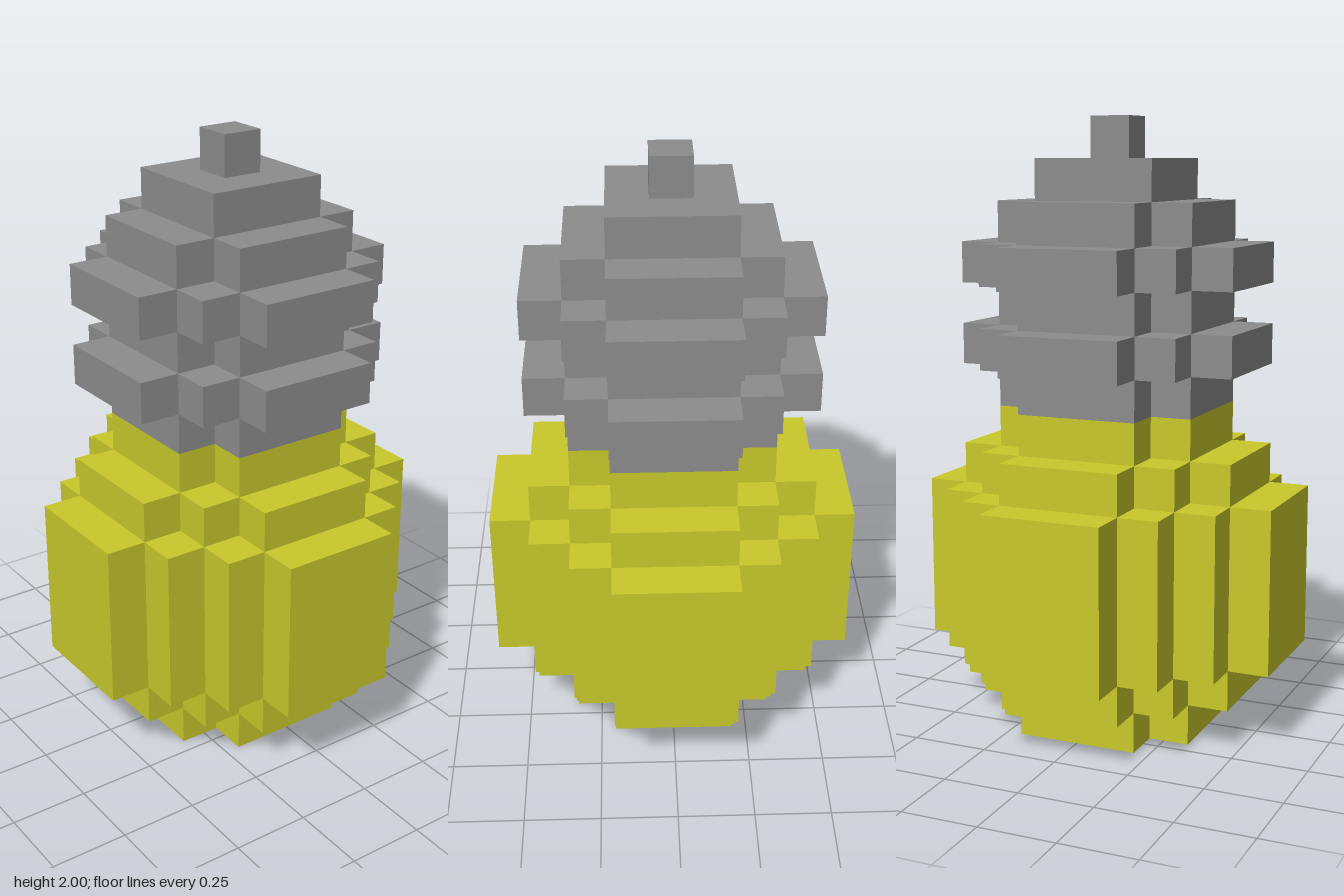
import * as THREE from 'three';

const U = 2 / 15; // size of one block

// Stepped round outline; r is the half width in blocks
function steppedOutline(r) {
  const quarter = [];
  let a = r, b = Math.min(1.5, r);
  quarter.push([a, b]);
  while (a > 1.5) {
    a -= 1;
    quarter.push([a, b]);
    b += 1;
    quarter.push([a, b]);
  }
  const points = [];
  for (let q = 0; q < 4; q++) {
    for (const [x, y] of quarter) {
      points.push(new THREE.Vector2(x * U, y * U).rotateAround(new THREE.Vector2(), q * Math.PI / 2));
    }
  }
  return new THREE.Shape(points);
}

export function createModel() {
  const yellow = new THREE.MeshStandardMaterial({ color: 0xc9c92c });
  yellow.name = 'yellow';
  const grey = new THREE.MeshStandardMaterial({ color: 0x8c8c8c });
  grey.name = 'grey';

  // Adds a stack of tiers, each [name, half width, height], both in blocks
  function stack(name, material, startY, tiers) {
    const group = new THREE.Group();
    group.name = name;
    let y = startY;
    for (const [tierName, r, height] of tiers) {
      const geometry = new THREE.ExtrudeGeometry(steppedOutline(r), { depth: height * U, bevelEnabled: false });
      geometry.rotateX(-Math.PI / 2);
      const mesh = new THREE.Mesh(geometry, material);
      mesh.name = tierName;
      mesh.position.y = y * U;
      group.add(mesh);
      y += height;
    }
    return group;
  }

  const model = new THREE.Group();
  model.name = 'bulb';

  // Rounded yellow glass
  model.add(stack('glass', yellow, 0, [
    ['glassBottom', 2.5, 1],
    ['glassLowerStep', 3.5, 1],
    ['glassBody', 4.5, 4],
    ['glassUpperStep', 3.5, 1],
    ['glassNeck', 2.5, 1],
  ]));

  // Ridged grey screw base with its contact on top
  model.add(stack('screwBase', grey, 8, [
    ['baseCollar', 2.5, 1],
    ['lowerThread', 3.5, 1],
    ['threadGap', 2.5, 1],
    ['upperThread', 3.5, 1],
    ['baseShoulder', 2.5, 1],
    ['baseCap', 1.5, 1],
    ['contactTip', 0.5, 1],
  ]));

  return model;
}
